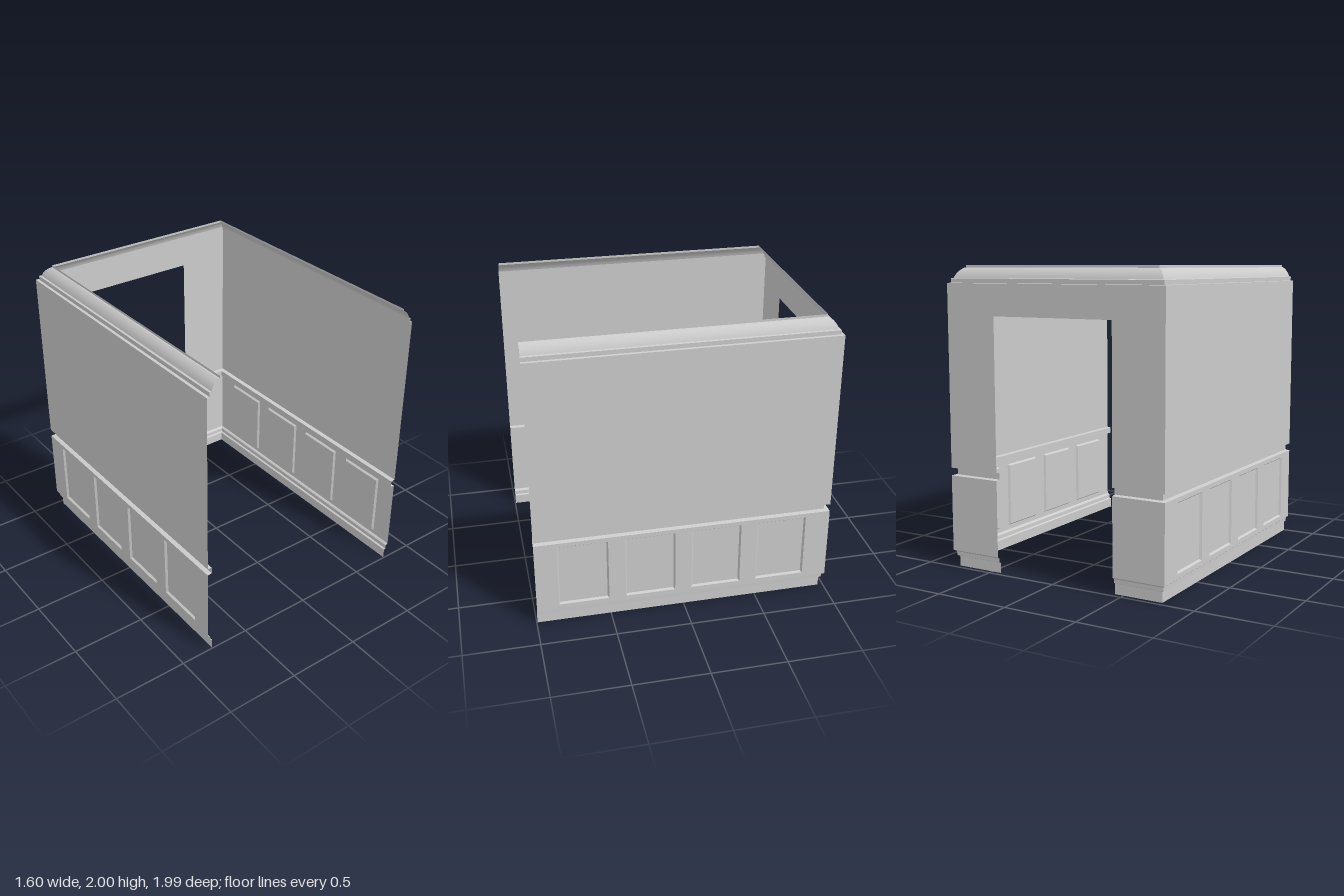
import * as THREE from 'three';
import { toCreasedNormals } from 'three/addons/utils/BufferGeometryUtils.js';

const W = 0.8, D = 0.995;                        // half width and half depth of the room
const DOOR = { left: -0.44, right: 0.43, top: 1.68 };
const material = new THREE.MeshStandardMaterial({ color: 0xcccccc, side: THREE.DoubleSide });

// Paths in plan as [x, z]; d is how far the moulding stands into the room
const front = (s, d) => [s * (W - d), D];
const corner = (s, d) => [s * (W - d), -D + d];
const jamb = (x, d) => [x, -D + d];
const paths = {
  around: d => [front(-1, d), corner(-1, d), corner(1, d), front(1, d)],
  rightRun: d => [front(-1, d), corner(-1, d), jamb(DOOR.left, d)],
  leftRun: d => [jamb(DOOR.right, d), corner(1, d), front(1, d)],
  rightPier: d => [corner(-1, d), jamb(DOOR.left, d)],
  leftPier: d => [jamb(DOOR.right, d), corner(1, d)],
};

function buildGeometry(positions, index) {
  const g = new THREE.BufferGeometry();
  g.setAttribute('position', new THREE.Float32BufferAttribute(positions, 3));
  g.setIndex(index);
  return toCreasedNormals(g, 0.45);
}

// Sweep a profile of [d, y] points along a mitred path
function sweep(name, profile, path) {
  const positions = [], index = [];
  profile.forEach(([d, y]) => path(d).forEach(([x, z]) => positions.push(x, y, z)));
  const n = path(0).length;
  for (let j = 0; j < profile.length - 1; j++) {
    for (let i = 0; i < n - 1; i++) {
      const a = j * n + i, b = a + 1, c = b + n, e = a + n;
      index.push(a, b, c, a, c, e);
    }
  }
  return makeMesh(name, buildGeometry(positions, index));
}

function makeMesh(name, geometry) {
  const m = new THREE.Mesh(geometry, material);
  m.name = name;
  return m;
}

// Raised panel with a bevelled rim, facing +z
function panelGeometry(w, h, bevel, depth) {
  const positions = [], index = [];
  for (const [inset, z] of [[0, 0], [bevel, depth]]) {
    const x = w / 2 - inset, y = h / 2 - inset;
    positions.push(-x, -y, z, x, -y, z, x, y, z, -x, y, z);
  }
  for (let i = 0; i < 4; i++) {
    const k = (i + 1) % 4;
    index.push(i, k, k + 4, i, k + 4, i + 4);
  }
  index.push(4, 5, 6, 4, 6, 7);
  return buildGeometry(positions, index);
}

// Lower part of a side wall with four raised panels
function wainscot(side, y0, y1) {
  const group = new THREE.Group();
  group.name = side > 0 ? 'leftWainscot' : 'rightWainscot';
  const rect = (Type, x0, b, x1, t) => new Type([[x0, b], [x1, b], [x1, t], [x0, t]].map(p => new THREE.Vector2(...p)));
  const wall = rect(THREE.Shape, -D, y0, D, y1);
  const pw = 0.335, p0 = 0.145, p1 = 0.59;
  for (let i = 0; i < 4; i++) {
    const u = side * (0.68 - 0.447 * i);
    wall.holes.push(rect(THREE.Path, u - pw / 2, p0, u + pw / 2, p1));
    const panel = makeMesh('panel', panelGeometry(pw, p1 - p0, 0.01, 0.014));
    panel.position.set(u, (p0 + p1) / 2, 0);
    group.add(panel);
  }
  group.add(makeMesh('panelSurround', new THREE.ShapeGeometry(wall)));
  group.rotation.y = -side * Math.PI / 2;
  group.position.x = side * W;
  return group;
}

export function createModel() {
  const room = new THREE.Group();
  room.name = 'panelledRoom';

  const baseboard = [[0.03, 0], [0.03, 0.068], [0.017, 0.074], [0.016, 0.1], [0.008, 0.108], [0, 0.112]];
  const chairRail = [[0, 0.62], [0.03, 0.625], [0.03, 0.668], [0, 0.672]];
  for (const s of ['right', 'left']) {
    const run = paths[s + 'Run'];
    room.add(
      sweep(s + 'Baseboard', baseboard, run),
      sweep(s + 'PierWainscot', [[0, 0.112], [0, 0.62]], paths[s + 'Pier']),
      sweep(s + 'ChairRail', chairRail, run),
      sweep(s + 'Wall', [[0, 0.672], [0, DOOR.top]], run),
    );
  }
  room.add(wainscot(1, 0.112, 0.62), wainscot(-1, 0.112, 0.62));

  // Wall above the doorway
  room.add(sweep('upperWall', [[0, DOOR.top], [0, 1.886]], paths.around));

  // Crown moulding: step, concave cove and top fillet
  const crown = [[0, 1.886], [0.018, 1.888], [0.018, 1.916], [0.031, 1.919]];
  for (let i = 1; i <= 8; i++) {
    const t = i / 8;
    const k = 2 * t * (1 - t);
    crown.push([0.031 * (1 - t) ** 2 + 0.045 * k + 0.08 * t * t, 1.919 * (1 - t) ** 2 + 1.962 * k + 1.984 * t * t]);
  }
  crown.push([0.088, 1.985], [0.088, 2]);
  room.add(sweep('crownMoulding', crown, paths.around));
  return room;
}
